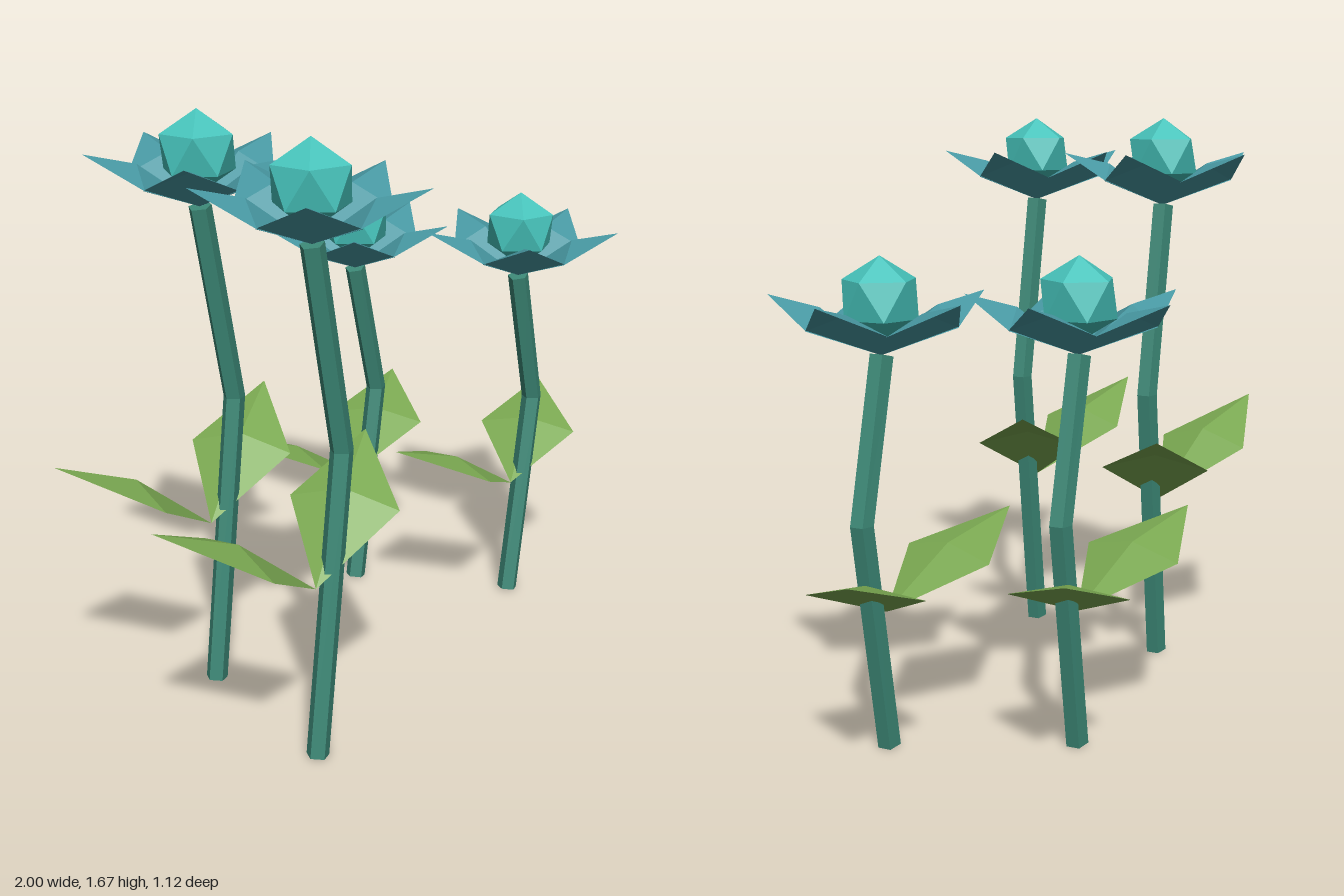
import * as THREE from 'three';

const flat = (name, color, side = THREE.FrontSide) => {
  const m = new THREE.MeshStandardMaterial({ color, flatShading: true, side });
  m.name = name;
  return m;
};

// Folded blade running away from the stem: base, two side corners, raised spine point and tip
function bladeGeometry(base, back, front, spine, tip) {
  const g = new THREE.BufferGeometry();
  g.setAttribute('position', new THREE.Float32BufferAttribute([base, back, front, spine, tip].flat(), 3));
  g.setIndex([0, 3, 1, 0, 2, 3, 3, 4, 1, 2, 4, 3]);
  const out = g.toNonIndexed();
  out.computeVertexNormals();
  return out;
}

// Five-sided stem with one bend towards +x, its ends cut square to its run
function stemGeometry(height, bendY, bendX) {
  const g = new THREE.CylinderGeometry(0.032, 0.032, 2, 5, 2, false, Math.PI * 0.3);
  const p = g.attributes.position;
  const tilt = [-bendX / bendY, 0, bendX / (height - bendY)];
  for (let i = 0; i < p.count; i++) {
    const level = Math.round(p.getY(i)) + 1;
    p.setY(i, [0.004, bendY, height][level] + tilt[level] * p.getX(i));
    if (level === 1) p.setX(i, p.getX(i) + bendX);
  }
  const out = g.toNonIndexed();
  out.computeVertexNormals();
  return out;
}

export function createModel() {
  const stemMat = flat('stem green', 0x3c8876);
  const leafMat = flat('leaf green', 0x7aa851, THREE.DoubleSide);
  const petalMat = flat('petal blue', 0x4797a1, THREE.DoubleSide);
  const centreMat = flat('centre turquoise', 0x46c2ba);

  const petalGeo = bladeGeometry([0, 0, 0], [0.162, 0.075, -0.122], [0.162, 0.075, 0.122], [0.16, 0.122, 0], [0.298, 0.154, 0]);
  const leafGeo = bladeGeometry([0, 0.5, 0], [0.17, 0.648, -0.22], [0.26, 0.648, 0.08], [0.215, 0.69, -0.07], [0.427, 0.775, -0.155]);
  const mirroredLeafGeo = bladeGeometry([0, 0.5, 0], [-0.26, 0.648, 0.08], [-0.17, 0.648, -0.22], [-0.215, 0.69, -0.07], [-0.427, 0.775, -0.155]);
  // Ball with one corner pointing up and the next ring's corner towards +x
  const centreGeo = new THREE.IcosahedronGeometry(0.112, 0);
  centreGeo.rotateZ(-Math.atan(2 / (1 + Math.sqrt(5))));

  const add = (parent, name, geo, mat) => {
    const mesh = new THREE.Mesh(geo, mat);
    mesh.name = name;
    parent.add(mesh);
    return mesh;
  };

  function flower(name, x, z, k) {
    const plant = new THREE.Group();
    plant.name = name;
    plant.position.set(x, 0, z);
    const top = 1.413 * k;
    add(plant, 'stem', stemGeometry(top, 0.85 * k, 0.113), stemMat);

    // Pair of leaves
    add(plant, 'leftLeaf', leafGeo, leafMat).scale.y = k;
    add(plant, 'rightLeaf', mirroredLeafGeo, leafMat).scale.y = k;

    // Blossom: five petals around a faceted ball
    const blossom = new THREE.Group();
    blossom.name = 'blossom';
    blossom.position.y = top;
    for (let i = 0; i < 5; i++) {
      add(blossom, 'petal', petalGeo, petalMat).rotation.y = (i * Math.PI * 2) / 5;
    }
    add(blossom, 'flowerCentre', centreGeo, centreMat).position.y = 0.145;
    plant.add(blossom);
    return plant;
  }

  const model = new THREE.Group();
  model.name = 'flowers';
  model.add(
    flower('tallFrontFlower', -0.573, 0.278, 1),
    flower('tallBackFlower', -0.43, -0.21, 1),
    flower('shortFrontFlower', 0.57, 0.178, 0.757),
    flower('shortBackFlower', 0.345, -0.278, 0.757),
  );
  return model;
}
